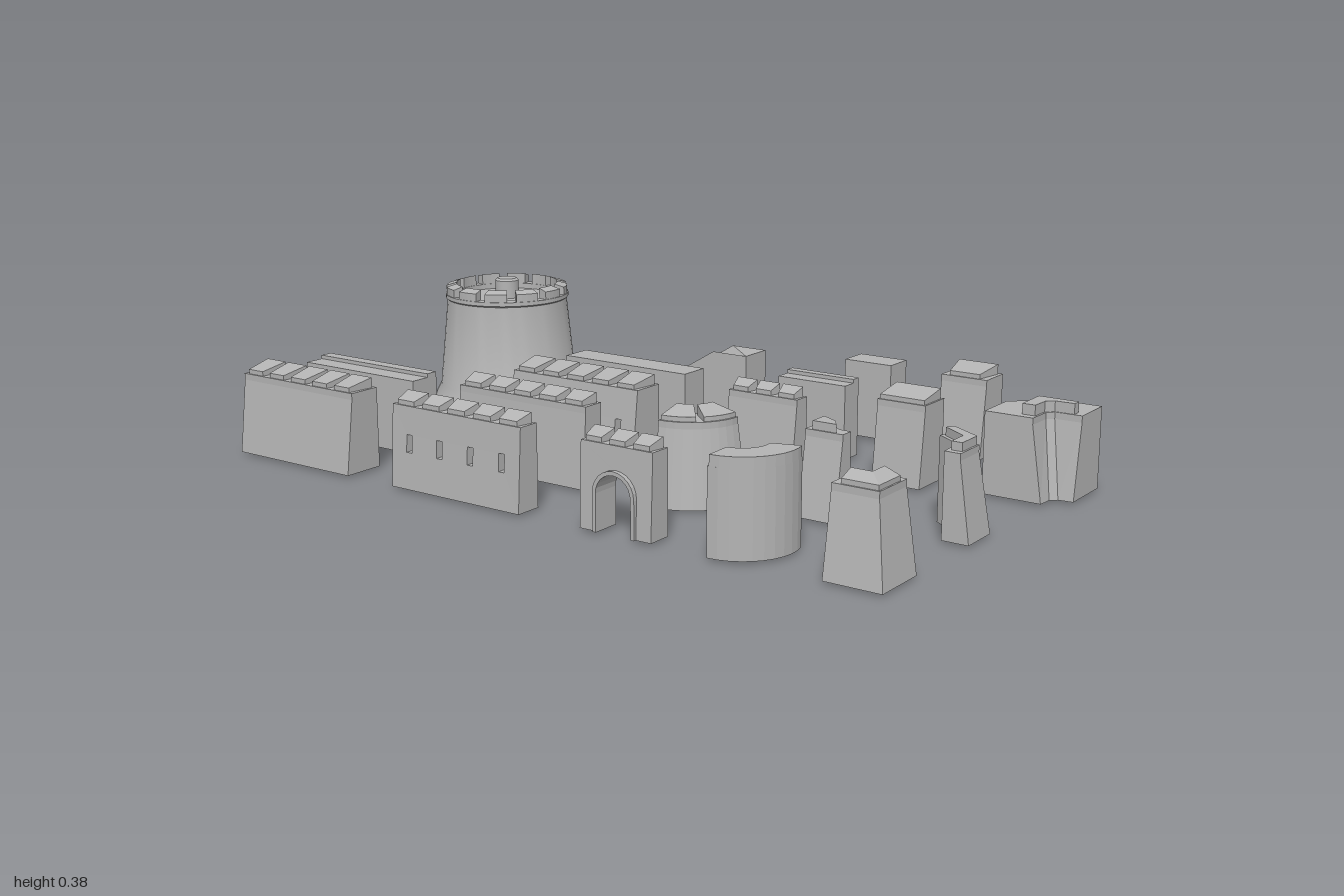
import * as THREE from 'three';
import { toCreasedNormals } from 'three/addons/utils/BufferGeometryUtils.js';

const BASE = 0.006, CORNICE = 0.2, TOP = 0.217, LOW = 0.229, HIGH = 0.244;

export function createModel() {
  const model = new THREE.Group();
  model.name = 'castleKit';
  const stone = new THREE.MeshStandardMaterial({ color: 0xb4b4b4, side: THREE.DoubleSide });
  stone.name = 'stone grey';

  const add = (name, geometry, parent = model) => {
    const mesh = new THREE.Mesh(geometry, stone);
    mesh.name = name;
    parent.add(mesh);
    return mesh;
  };
  const piece = (name) => {
    const g = new THREE.Group();
    g.name = name;
    model.add(g);
    return g;
  };

  // Skins rings of [x, z, y] points, caps the top and leaves the bottom open
  const shell = (rings) => {
    const flat = (r) => r.map(([x, z]) => new THREE.Vector2(x, z));
    if (THREE.ShapeUtils.area(flat(rings[0])) < 0) rings = rings.map((r) => [...r].reverse());
    const pos = [];
    const put = (...pts) => pts.forEach(([x, z, y]) => pos.push(x, y, z));
    const n = rings[0].length;
    for (let k = 0; k + 1 < rings.length; k++) {
      for (let i = 0; i < n; i++) {
        const j = (i + 1) % n;
        const a = rings[k][i], b = rings[k][j], c = rings[k + 1][i], d = rings[k + 1][j];
        put(a, c, b, b, c, d);
      }
    }
    const top = rings[rings.length - 1];
    THREE.ShapeUtils.triangulateShape(flat(top), []).forEach(([a, b, c]) => put(top[a], top[c], top[b]));
    const g = new THREE.BufferGeometry();
    g.setAttribute('position', new THREE.Float32BufferAttribute(pos, 3));
    g.computeVertexNormals();
    return g;
  };
  const at = (pts, y) => pts.map(([x, z]) => [x, z, y]);
  const rect = (x0, x1, z0, z1) => [[x0, z0], [x1, z0], [x1, z1], [x0, z1]];
  const prism = (pts, y0, y1) => shell([at(pts, y0), at(pts, y1)]);
  // Battered body: wide foot, narrower head with a shallow cornice band
  const body = (foot, head) => shell([at(foot, BASE), at(head, CORNICE), at(head, TOP)]);

  // Part of a ring in plan, angles in degrees from +x towards +z
  const arc = (cx, cz, ro, ri, a0, a1, n = 10) => {
    const run = (r) => Array.from({ length: n + 1 }, (_, i) => {
      const a = THREE.MathUtils.degToRad(a0 + (a1 - a0) * i / n);
      return [cx + r * Math.cos(a), cz + r * Math.sin(a)];
    });
    return [...run(ro), ...run(ri).reverse()];
  };
  // Curved merlon with its top falling outwards
  const arcMerlon = (cx, cz, ro, ri, a0, a1, y0, yo, yi, n = 4) => {
    const p = arc(cx, cz, ro, ri, a0, a1, n);
    return shell([at(p, y0), p.map(([x, z], i) => [x, z, i <= n ? yo : yi])]);
  };

  // Row of wedge-shaped merlons with tops falling towards -x
  const merlons = (parent, xo, xi, z0, z1, count) => {
    const pitch = (z1 - z0) / count;
    for (let i = 0; i < count; i++) {
      const c = z0 + pitch * (i + 0.5), o = pitch * 0.33, w = pitch * 0.43;
      const p = [[xo, c - o], [xi, c - w], [xi, c + w], [xo, c + o]];
      add('merlon', shell([at(p, TOP), p.map(([x, z], k) => [x, z, k % 3 ? HIGH : LOW])]), parent);
    }
  };

  // Straight battlement walls: outer face battered, inner face upright
  const wall = (name, x0, x1, z0, z1, count, batter) => {
    const g = piece(name);
    add('wallBody', body(rect(x0, x1, z0, z1), rect(x0 + batter, x1, z0, z1)), g);
    merlons(g, x0 + batter + 0.004, x1 - 0.011, z0, z1, count);
  };
  wall('thickLongWall', -0.597, -0.483, -1, -0.6, 5, 0.025);
  wall('thinLongWall', -0.35, -0.275, -0.444, -0.03, 5, 0.013);
  wall('shortWall', 0.005, 0.075, 0.15, 0.355, 3, 0.022);
  wall('thickShortWall', 0.476, 0.596, 0.513, 0.645, 1, 0.024);

  // Walls with openings, cut through the thickness and open underneath
  const piercedWall = (name, x0, x1, z0, z1, count, batter, outline, holes) => {
    const g = piece(name), L = z1 - z0;
    const shape = new THREE.Shape(outline(L));
    shape.holes = holes;
    const geo = new THREE.ExtrudeGeometry(shape, { depth: x1 - x0, bevelEnabled: false, curveSegments: 10 });
    geo.rotateY(Math.PI / 2);
    const p = geo.getAttribute('position'), keep = [];
    for (let i = 0; i < p.count; i++) {
      if (p.getX(i) < 1e-5) p.setX(i, batter * Math.min(1, (p.getY(i) - BASE) / (CORNICE - BASE)));
    }
    for (let i = 0; i < p.count; i += 3) {
      if ([0, 1, 2].some((k) => p.getY(i + k) > BASE + 1e-4)) {
        for (let k = 0; k < 3; k++) keep.push(p.getX(i + k) + x0, p.getY(i + k), p.getZ(i + k) + (z0 + z1) / 2);
      }
    }
    const open = new THREE.BufferGeometry();
    open.setAttribute('position', new THREE.Float32BufferAttribute(keep, 3));
    open.computeVertexNormals();
    add('wallBody', open, g);
    merlons(g, x0 + batter + 0.004, x1 - 0.011, z0, z1, count);
    return g;
  };
  const v = (x, y) => new THREE.Vector2(x, y);
  const plain = (L) => [v(-L / 2, BASE), v(L / 2, BASE), v(L / 2, TOP), v(-L / 2, TOP)];
  const windows = (w, y0, y1) => [-0.15, -0.05, 0.05, 0.15].map((c) =>
    new THREE.Path([v(c - w, y0), v(c - w, y1), v(c + w, y1), v(c + w, y0)]));
  piercedWall('thinWindowWall', -0.597, -0.524, -0.444, -0.03, 5, 0.013, plain, windows(0.009, 0.1, 0.145));
  piercedWall('thickWindowWall', -0.148, -0.03, -0.444, -0.03, 5, 0.025, plain, windows(0.009, 0.1, 0.135));

  // Points of a round-headed arch, from left foot to right foot
  const arch = (r, spring, foot, c = 0) => [v(c - r, foot),
    ...Array.from({ length: 13 }, (_, i) => {
      const a = Math.PI * (1 - i / 12);
      return v(c + r * Math.cos(a), spring + r * Math.sin(a));
    }), v(c + r, foot)];
  const archRing = (ro, ri, spring, foot, depth) => new THREE.ExtrudeGeometry(
    new THREE.Shape([...arch(ro, spring, foot), ...arch(ri, spring, foot).reverse()]),
    { depth, bevelEnabled: false }).rotateY(Math.PI / 2);

  // Gate with arch mouldings on both faces
  const gate = piercedWall('gateWall', -0.59, -0.524, 0.15, 0.355, 3, 0.008, (L) =>
    [v(-L / 2, TOP), v(-L / 2, BASE), ...arch(0.05, 0.1, BASE), v(L / 2, BASE), v(L / 2, TOP)], []);
  add('archMoulding', archRing(0.06, 0.05, 0.1, BASE, 0.012), gate).position.set(-0.597, 0, 0.2525);
  add('archMoulding', archRing(0.058, 0.05, 0.1, BASE, 0.005), gate).position.set(-0.525, 0, 0.2525);

  // Plain walls with a small step along the top
  const stepped = (name, x0, x1, z0, z1) => {
    const g = piece(name), xm = x0 + (x1 - x0) * 0.62;
    add('wallBody', prism(rect(x0, x1, z0, z1), BASE, 0.207), g);
    add('topStep', prism(rect(xm, x1, z0, z1), 0.207, TOP), g);
  };
  stepped('plainLongWall', -0.35, -0.26, -1, -0.6);
  stepped('plainShortWall', 0.265, 0.335, 0.15, 0.355);
  add('plainBlock', prism(rect(0.51, 0.597, 0.212, 0.355), BASE, TOP));

  // Arcade wall with raised blind arches
  const arcade = piece('arcadeWall');
  add('wallBody', prism(rect(0.1, 0.188, -0.444, -0.04), BASE, TOP), arcade);
  [-0.122, -0.242, -0.362].forEach((z) => {
    add('blindArch', archRing(0.046, 0.034, 0.085, 0, 0.009), arcade).position.set(0.187, 0, z);
  });

  // Ramp, high at its front end
  const ramp = rect(0.38, 0.48, -0.444, -0.03);
  ramp.splice(1, 2, [0.48, -0.444], [0.48, -0.14], [0.48, -0.03]);
  ramp.push([0.38, -0.14]);
  add('ramp', shell([at(ramp, BASE), ramp.map(([x, z]) => [x, z, z < -0.4 ? 0.035 : TOP])]));

  // Tower of one turned profile, a ring of merlons and a central post
  const tower = piece('roundTower');
  tower.position.set(0.243, 0, -0.78);
  const turned = (pts, n = 48) => toCreasedNormals(
    new THREE.LatheGeometry(pts.map(([r, y]) => v(r, y)), n), 0.5);
  add('towerBody', turned([[0.22, BASE], [0.219, 0.025], [0.212, 0.05], [0.199, 0.075], [0.174, 0.325],
    [0.179, 0.329], [0.179, 0.34], [0.145, 0.34], [0.145, 0.325], [0, 0.325]]), tower);
  for (let i = 0; i < 12; i++) {
    add('towerMerlon', arcMerlon(0, 0, 0.176, 0.147, i * 30 - 10.5, i * 30 + 10.5, 0.34, 0.362, 0.37), tower);
  }
  add('centralPost', turned([[0.034, 0.325], [0.034, 0.376], [0.028, 0.382], [0, 0.383]], 20), tower);

  // Curved corner, battered outside
  const curve = piece('curvedCorner');
  add('wallBody', body(arc(-0.197, 0.19, 0.167, 0.05, 90, 180), arc(-0.197, 0.19, 0.138, 0.05, 90, 180)), curve);
  [[92, 132], [140, 178]].forEach(([a, b]) =>
    add('merlon', arcMerlon(-0.197, 0.19, 0.133, 0.064, a, b, TOP, LOW, HIGH), curve));

  // Upright curved bend with a coping
  const bend = piece('curvedBend');
  add('wallBody', prism(arc(-0.46, 0.513, 0.138, 0.06, 70, 180), BASE, TOP), bend);
  add('coping', prism(arc(-0.46, 0.513, 0.138, 0.064, 72, 178), TOP, HIGH), bend);

  // Wedge end piece
  const wedge = piece('wedgePiece');
  add('wallBody', body([[-0.228, 0.518], [-0.112, 0.518], [-0.16, 0.59], [-0.16, 0.62], [-0.228, 0.62]],
    [[-0.198, 0.518], [-0.112, 0.518], [-0.16, 0.59], [-0.16, 0.62], [-0.198, 0.62]]), wedge);
  add('merlon', prism([[-0.194, 0.535], [-0.14, 0.535], [-0.165, 0.58], [-0.194, 0.6]], TOP, 0.238), wedge);

  // Short wall with upright faces and a broad coping
  const stub = piece('copedShortWall');
  add('wallBody', body(rect(0.14, 0.26, 0.51, 0.645), rect(0.16, 0.26, 0.51, 0.645)), stub);
  add('coping', shell([at(rect(0.164, 0.25, 0.515, 0.64), TOP),
    rect(0.164, 0.25, 0.515, 0.64).map(([x, z]) => [x, z, x < 0.2 ? LOW : HIGH])]), stub);

  // Solid square corner with an L-shaped parapet
  const corner = piece('squareCorner');
  add('cornerBody', body(rect(-0.58, -0.432, 0.798, 0.945), rect(-0.55, -0.432, 0.798, 0.915)), corner);
  const ell = [[-0.546, 0.82], [-0.507, 0.82], [-0.507, 0.873], [-0.455, 0.873], [-0.455, 0.911], [-0.546, 0.911]];
  add('cornerParapet', shell([at(ell, TOP), ell.map(([x, z]) => [x, z, x < -0.54 || z > 0.9 ? LOW : HIGH])]), corner);

  // Angled corner
  const angled = piece('angledCorner');
  const inner = [[-0.068, 0.803], [-0.114, 0.872], [-0.187, 0.876]];
  add('wallBody', body([[-0.187, 0.945], [-0.078, 0.945], [-0.009, 0.832], ...inner],
    [[-0.187, 0.917], [-0.094, 0.917], [-0.034, 0.82], ...inner]), angled);
  add('parapet', prism([[-0.17, 0.912], [-0.097, 0.912], [-0.046, 0.829], [-0.066, 0.817],
    [-0.111, 0.884], [-0.17, 0.885]], TOP, 0.238), angled);

  // Inward corner with a chamfered back and battered hollow
  const hollow = piece('inwardCorner');
  const back = [[0.287, 1], [0.412, 1], [0.412, 0.875], [0.322, 0.785], [0.203, 0.785]].slice(1);
  add('cornerBody', body([...back, [0.203, 0.942], [0.244, 0.946], [0.26, 0.962], [0.264, 1]],
    [...back, [0.203, 0.912], [0.274, 0.914], [0.29, 0.93], [0.292, 1]]), hollow);
  add('cornerParapet', prism([[0.225, 0.873], [0.32, 0.873], [0.32, 0.978], [0.295, 0.978],
    [0.293, 0.928], [0.276, 0.909], [0.225, 0.907]], TOP, HIGH), hollow);

  return model;
}
